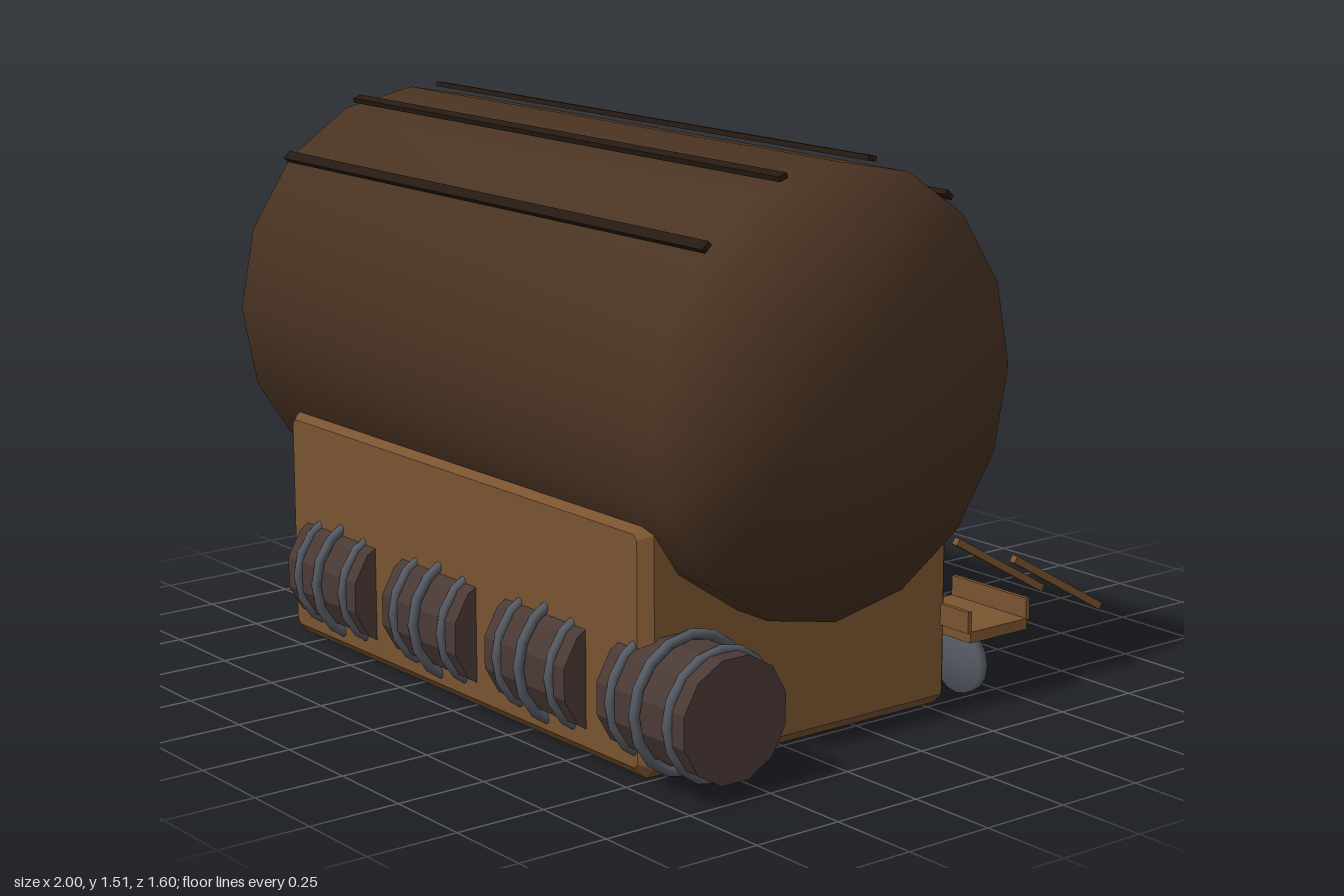
import * as THREE from 'three';
import { mergeVertices } from 'three/addons/utils/BufferGeometryUtils.js';

const mat = (color, flatShading = false) => new THREE.MeshStandardMaterial({ color, flatShading });
const tankWood = mat(0x4a3322);
const baseWood = mat(0x7a5430);
const barrelWood = mat(0x4a3a36, true);
const iron = mat(0x555962);
const slatWood = mat(0x261a13);

function add(parent, name, geometry, material, x = 0, y = 0, z = 0) {
  const mesh = new THREE.Mesh(geometry, material);
  mesh.name = name;
  mesh.position.set(x, y, z);
  parent.add(mesh);
  return mesh;
}

// Share normals across every edge, so rims look softened
function softened(geometry) {
  geometry.deleteAttribute('normal');
  geometry.deleteAttribute('uv');
  const merged = mergeVertices(geometry, 1e-4);
  merged.computeVertexNormals();
  return merged;
}

// Box with all edges cut at 45 degrees, standing on y = 0
function chamferedBox(w, h, d, c) {
  const a = w / 2;
  const shape = new THREE.Shape([
    [-a + c, 0], [a - c, 0], [a, c], [a, h - c],
    [a - c, h], [-a + c, h], [-a, h - c], [-a, c],
  ].map(([x, y]) => new THREE.Vector2(x, y)));
  return new THREE.ExtrudeGeometry(shape, {
    depth: d - 2 * c, bevelEnabled: true, bevelSize: c,
    bevelThickness: c, bevelOffset: -c, bevelSegments: 1,
  }).translate(0, 0, -d / 2 + c);
}

function makeBarrel() {
  const barrel = new THREE.Group();
  barrel.name = 'barrel';
  const body = new THREE.CylinderGeometry(0.163, 0.163, 0.345, 12, 1, false, Math.PI / 12);
  add(barrel, 'barrelBody', body.rotateZ(Math.PI / 2), barrelWood);
  for (const [x, r] of [[-0.113, 0.162], [0, 0.175], [0.113, 0.162]]) {
    const hoop = new THREE.TorusGeometry(r, 0.014, 8, 16).rotateY(Math.PI / 2);
    add(barrel, 'barrelHoop', hoop, iron, x);
  }
  return barrel;
}

// Small handcart: tray with two lips, one wheel and two sloping handles
function makeCart() {
  const cart = new THREE.Group();
  cart.name = 'handcart';
  cart.position.x = 0.723;
  add(cart, 'tray', new THREE.BoxGeometry(0.285, 0.03, 0.205), baseWood, 0, 0.21, -0.393);
  for (const z of [-0.288, -0.498]) {
    add(cart, 'trayLip', new THREE.BoxGeometry(0.285, 0.058, 0.013), baseWood, 0, 0.251, z);
  }
  const wheel = softened(new THREE.CylinderGeometry(0.089, 0.089, 0.028, 16).rotateX(Math.PI / 2));
  add(cart, 'wheel', wheel, iron, 0, 0.096, -0.393);
  for (const x of [-0.11, 0.11]) {
    const handle = add(cart, 'handle', new THREE.BoxGeometry(0.02, 0.02, 0.375), baseWood, x, 0.291, -0.635);
    handle.rotation.x = -Math.atan2(0.19, 0.33);
  }
  return cart;
}

export function createModel() {
  const model = new THREE.Group();
  model.name = 'barrelStall';

  // Base block that cradles the tank
  add(model, 'base', chamferedBox(1.64, 0.655, 1.02, 0.03), baseWood, -0.06, 0, 0.19);

  // Large lying tank
  const tank = new THREE.Group();
  tank.name = 'tank';
  tank.position.set(-0.0625, 0.925, 0.185);
  model.add(tank);
  const length = 1.875;
  add(tank, 'tankBody', softened(new THREE.CylinderGeometry(0.58, 0.58, length, 16).rotateZ(Math.PI / 2)), tankWood);

  // Thin slats running along the top of the tank
  for (const degrees of [45, 18, -10, -38]) {
    const angle = THREE.MathUtils.degToRad(degrees);
    const slat = add(tank, 'slat', new THREE.BoxGeometry(length, 0.014, 0.027), slatWood,
      0, 0.588 * Math.cos(angle), 0.588 * Math.sin(angle));
    slat.rotation.x = angle;
  }

  // Row of barrels set into the front of the base
  for (let i = 0; i < 4; i++) {
    const barrel = makeBarrel();
    barrel.position.set(-0.61 + i * 0.479, 0.208, 0.61);
    model.add(barrel);
  }

  model.add(makeCart());
  return model;
}
